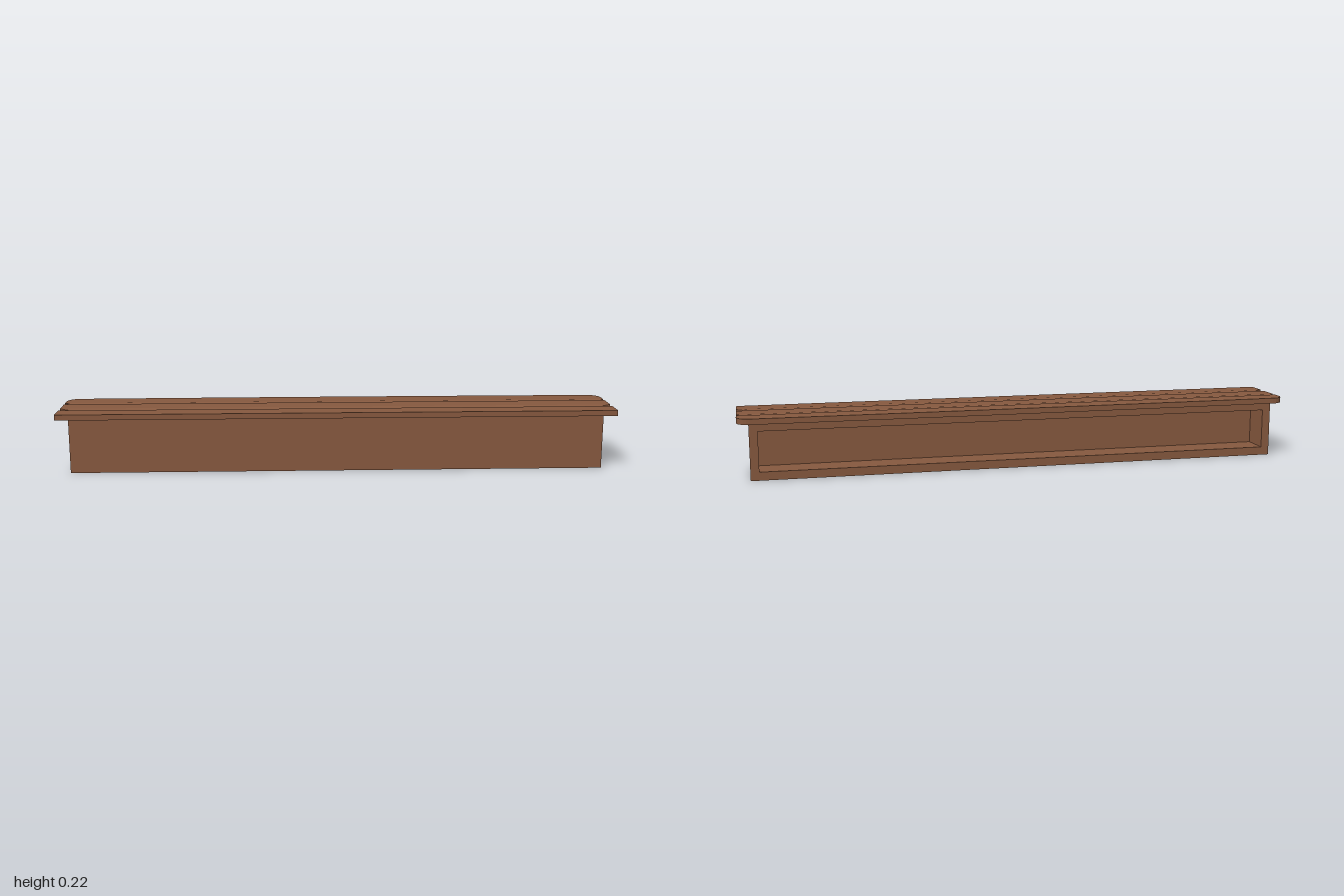
import * as THREE from 'three';

const WOOD = new THREE.MeshStandardMaterial({ color: 0x85583e, flatShading: true });

// Lofts rectangular sections [z, halfWidth, topY], ordered from front to back, above a flat base.
function loftAlongZ(sections, baseY) {
  const rings = sections.map(([z, w, t]) => [[-w, baseY, z], [w, baseY, z], [w, t, z], [-w, t, z]]);
  const pos = [];
  const quad = (a, b, c, d) => pos.push(...a, ...b, ...c, ...a, ...c, ...d);
  for (let i = 0; i < rings.length - 1; i++) {
    const a = rings[i], b = rings[i + 1];
    for (let j = 0; j < 4; j++) {
      const k = (j + 1) % 4;
      quad(a[j], b[j], b[k], a[k]);
    }
  }
  quad(...rings[0]);
  quad(...rings[rings.length - 1].slice().reverse());
  const geo = new THREE.BufferGeometry();
  geo.setAttribute('position', new THREE.Float32BufferAttribute(pos, 3));
  geo.computeVertexNormals();
  return geo;
}

export function createModel() {
  const model = new THREE.Group();
  const add = (name, geo) => {
    const mesh = new THREE.Mesh(geo, WOOD);
    mesh.name = name;
    model.add(mesh);
    return mesh;
  };

  const W = 0.96, H = 0.202, D = 0.103, wall = 0.03, top = 0.222;

  // Solid front half of the body
  add('bodyFront', new THREE.BoxGeometry(2 * W, H, D)).position.set(0, H / 2, D / 2);

  // Rear half: a frame around the open recess
  const frame = new THREE.Shape([[-W, 0], [W, 0], [W, H], [-W, H]].map(p => new THREE.Vector2(...p)));
  const x = W - wall;
  frame.holes.push(new THREE.Path(
    [[-x, wall], [-x, H - wall], [x, H - wall], [x, wall]].map(p => new THREE.Vector2(...p))));
  add('recessFrame', new THREE.ExtrudeGeometry(frame, { depth: D, bevelEnabled: false }))
    .position.z = -D;

  // Plank top: two shallow grooves ending in notches, rounded rear corners, slightly bowed rear edge
  const sections = [
    [0.143, 1, top],
    [0.067, 1, top], [0.052, 0.96, top - 0.004], [0.037, 1, top],
    [-0.04, 1, top], [-0.05, 0.982, top - 0.004], [-0.06, 1, top],
  ];
  for (let i = 0; i <= 6; i++) {
    const a = (i / 6) * Math.PI / 2;
    sections.push([-0.095 - 0.043 * Math.sin(a), 0.955 + 0.045 * Math.cos(a), top]);
  }
  sections.push([-0.14, 0.76, top], [-0.142, 0.43, top], [-0.143, 0.11, top]);
  add('plankTop', loftAlongZ(sections, H));

  return model;
}
